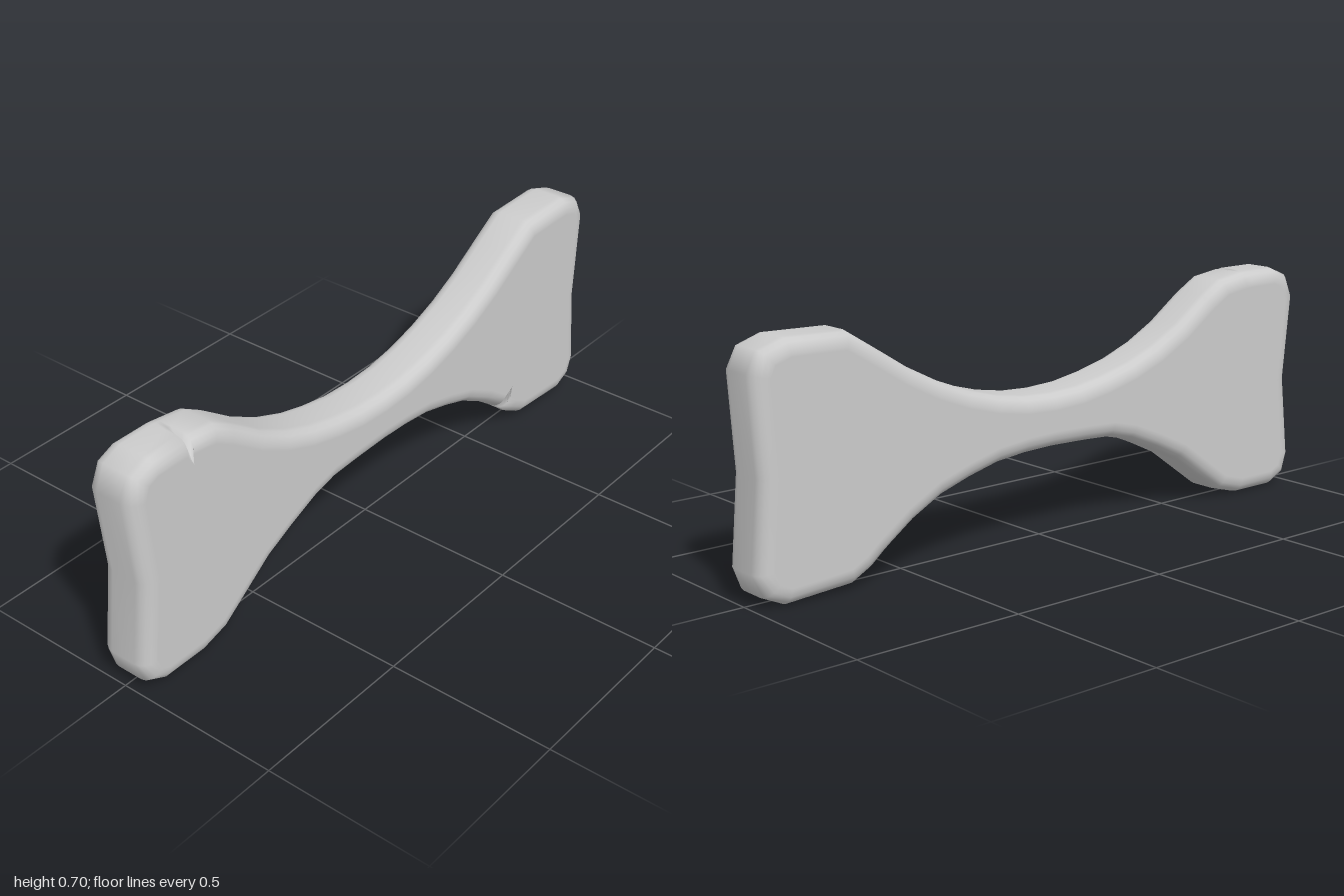
import * as THREE from 'three';

const V = (x, y) => new THREE.Vector2(x, y);

// Outline, counter-clockwise from the front; a third entry holds a chip's tip
const outline = [
  [-1, 0.61], [-0.972, 0.35], [-1, 0.1], [-0.98, 0.035], [-0.92, 0.005], [-0.77, 0.005],
  [-0.68, 0.03], [-0.59, 0.095], [-0.5, 0.16], [-0.4, 0.208], [-0.3, 0.25], [-0.22, 0.27],
  [-0.12, 0.275], [0, 0.278], [0.1, 0.275], [0.2, 0.265], [0.3, 0.24], [0.4, 0.208], [0.5, 0.155],
  [0.575, 0.102], [0.587, 0.093, V(0.635, 0.155)], [0.599, 0.084],
  [0.64, 0.05], [0.7, 0.018], [0.91, 0.005], [0.975, 0.035], [1, 0.1], [0.978, 0.35],
  [0.996, 0.62], [0.965, 0.68], [0.89, 0.705], [0.7, 0.7], [0.6, 0.638], [0.5, 0.575],
  [0.4, 0.524], [0.3, 0.485], [0.2, 0.457], [0.1, 0.44], [0, 0.435], [-0.1, 0.44],
  [-0.2, 0.457], [-0.3, 0.482], [-0.4, 0.52], [-0.5, 0.573], [-0.61, 0.65], [-0.68, 0.69],
  [-0.772, 0.703], [-0.783, 0.704, V(-0.777, 0.625)], [-0.794, 0.705],
  [-0.91, 0.705], [-0.97, 0.68],
].map(([x, y, tip]) => ({ p: V(x, y), tip }));

// Ring shrunk inwards by `inset`; chips only cut into the front half
function ring(inset, z) {
  const n = outline.length;
  return outline.map(({ p, tip }, i) => {
    const d1 = p.clone().sub(outline[(i + n - 1) % n].p).normalize();
    const d2 = outline[(i + 1) % n].p.clone().sub(p).normalize();
    const inward = V(-d1.y - d2.y, d1.x + d2.x).normalize();
    const miter = Math.max(0.7, inward.dot(V(-d1.y, d1.x)));
    const q = p.clone().addScaledVector(inward, inset / miter);
    if (tip) q.lerp(tip, THREE.MathUtils.clamp(z / 0.06, 0, 1));
    return { q, z };
  });
}

export function createModel() {
  const half = 0.08, r = 0.04, steps = 4;

  // Cross-sections from back to front with rounded edges
  const front = [];
  for (let k = 0; k <= steps; k++) {
    const a = (k / steps) * Math.PI / 2;
    front.push([r * (1 - Math.cos(a)), half - r + r * Math.sin(a)]);
  }
  front.push([r + 0.008, half]);
  const levels = [...front.map(([i, z]) => [i, -z]).reverse(), [0, 0], ...front];
  const rings = levels.map(([inset, z]) => ring(inset, z));

  const n = outline.length, positions = [], index = [];
  rings.flat().forEach(({ q, z }) => positions.push(q.x, q.y, z));
  for (let k = 0; k < rings.length - 1; k++) {
    for (let i = 0; i < n; i++) {
      const j = (i + 1) % n, a = k * n + i, b = k * n + j;
      index.push(a, b, b + n, a, b + n, a + n);
    }
  }

  // Flat front and back faces
  const last = (rings.length - 1) * n;
  const cap = (k) => THREE.ShapeUtils.triangulateShape(rings[k].map((v) => v.q), []);
  cap(0).forEach(([a, b, c]) => index.push(c, b, a));
  cap(rings.length - 1).forEach(([a, b, c]) => index.push(last + a, last + b, last + c));

  const geometry = new THREE.BufferGeometry();
  geometry.setAttribute('position', new THREE.Float32BufferAttribute(positions, 3));
  geometry.setIndex(index);
  geometry.computeVertexNormals();

  const body = new THREE.Mesh(geometry, new THREE.MeshStandardMaterial({ color: 0xcccccc }));
  body.name = 'bowTieBody';
  const group = new THREE.Group();
  group.name = 'bowTie';
  group.add(body);
  return group;
}
